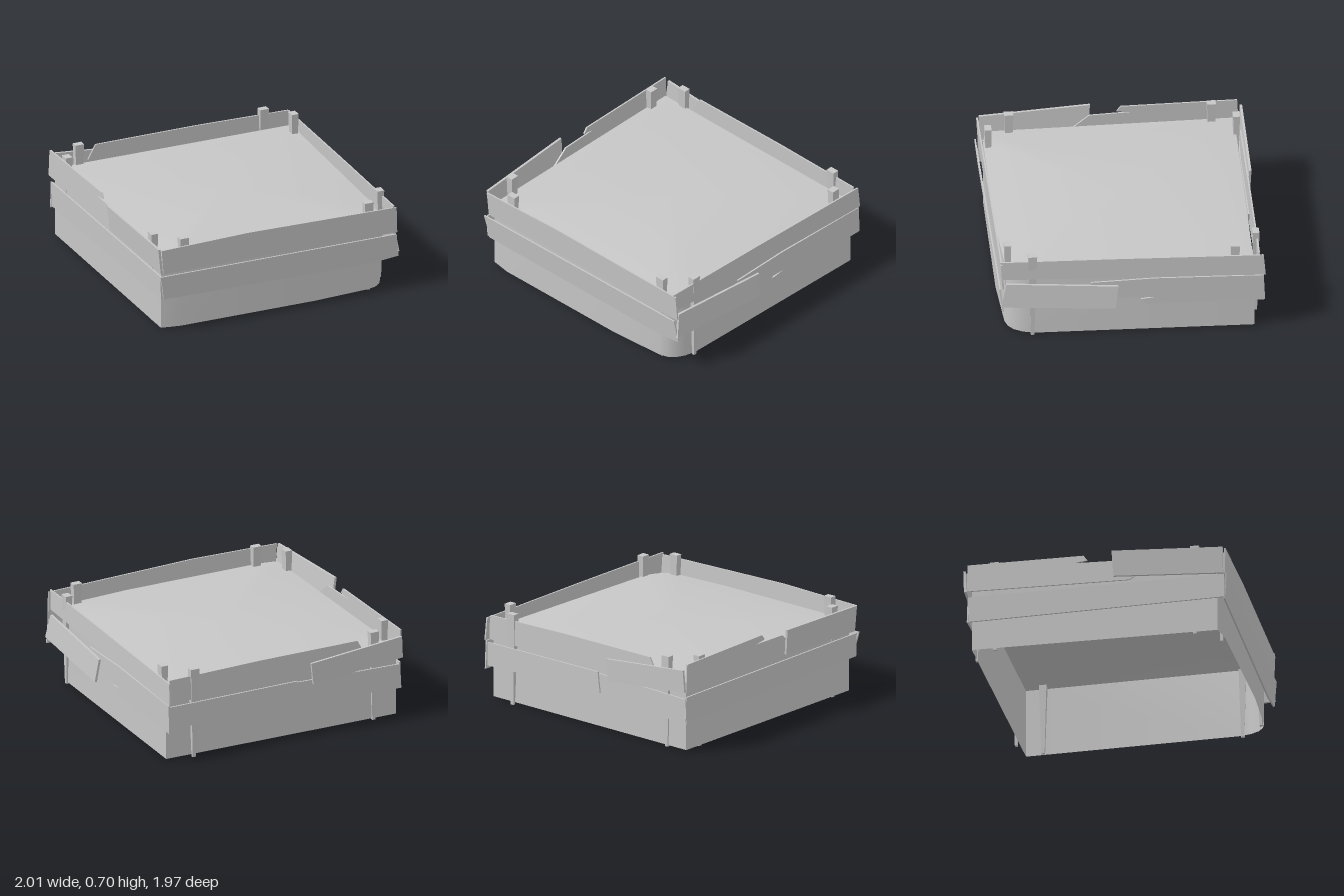
import * as THREE from 'three';
import { toCreasedNormals } from 'three/addons/utils/BufferGeometryUtils.js';

const grey = new THREE.MeshStandardMaterial({ color: 0xc6c6c6, side: THREE.DoubleSide });
grey.name = 'weatheredGrey';

// Outward direction of each side: turn about y, and the sign that maps its world axis to local x
const SIDES = {
  front: { turn: 0, sign: 1 },
  left: { turn: Math.PI / 2, sign: -1 },
  back: { turn: Math.PI, sign: -1 },
  right: { turn: -Math.PI / 2, sign: 1 },
};

// Board cut from an outline of (along, height) points. Its outer face lies at
// depth + slope * along + lean * (height - 0.45) from the centre.
function plank(name, side, outline, depth, slope = 0, lean = 0, thick = 0.012) {
  const { turn, sign } = SIDES[side];
  const shape = new THREE.Shape(outline.map(([u, y]) => new THREE.Vector2(u * sign, y)));
  const geo = new THREE.ExtrudeGeometry(shape, { depth: thick, bevelEnabled: false });
  const p = geo.attributes.position;
  for (let i = 0; i < p.count; i++) {
    const out = depth + slope * p.getX(i) * sign + lean * (p.getY(i) - 0.45);
    p.setZ(i, p.getZ(i) - thick + out);
  }
  geo.rotateY(turn);
  geo.computeVertexNormals();
  const mesh = new THREE.Mesh(geo, grey);
  mesh.name = name;
  return mesh;
}

// Square stake that narrows towards the ground
function stake(x, z, w, d) {
  const geo = new THREE.BoxGeometry(w, 0.7, d);
  const p = geo.attributes.position;
  for (let i = 0; i < p.count; i++) {
    if (p.getY(i) < 0) {
      p.setX(i, p.getX(i) * 0.38);
      p.setZ(i, p.getZ(i) * 0.38);
    }
  }
  geo.computeVertexNormals();
  const mesh = new THREE.Mesh(geo, grey);
  mesh.position.set(x, 0.35, z);
  mesh.name = 'stake';
  return mesh;
}

// Bed body: open underneath, one rounded front corner, gently mounded fill on top
function body() {
  const group = new THREE.Group();
  group.name = 'bedBody';
  const outline = new THREE.Shape();
  outline.moveTo(-0.928, -0.908);
  outline.lineTo(-0.78, -0.935);
  outline.lineTo(0.3, -0.948);
  outline.lineTo(0.74, -0.925);
  outline.quadraticCurveTo(0.88, -0.908, 0.91, -0.72);
  outline.lineTo(0.957, 0.892);
  outline.lineTo(-0.932, 0.925);
  const ring = outline.getPoints(4);
  const n = ring.length;
  const low = 0.01, high = 0.54;

  const walls = [];
  ring.forEach((a, i) => {
    const b = ring[(i + 1) % n];
    walls.push(a.x, low, -a.y, b.x, low, -b.y, b.x, high, -b.y);
    walls.push(a.x, low, -a.y, b.x, high, -b.y, a.x, high, -a.y);
  });
  const wallGeo = new THREE.BufferGeometry();
  wallGeo.setAttribute('position', new THREE.Float32BufferAttribute(walls, 3));
  const wallMesh = new THREE.Mesh(toCreasedNormals(wallGeo, 0.7), grey);
  wallMesh.name = 'bedWalls';

  // Shrinking copies of the outline rise towards the middle
  const rings = 8, mound = 0.05;
  const verts = [], index = [];
  for (let k = 0; k <= rings; k++) {
    const s = 1 - k / rings;
    for (const a of ring) verts.push(a.x * s, high + mound * (1 - s * s), -a.y * s);
  }
  for (let k = 0; k < rings; k++) {
    for (let i = 0; i < n; i++) {
      const a = k * n + i, b = k * n + (i + 1) % n;
      index.push(a, b, b + n);
      if (k < rings - 1) index.push(a, b + n, a + n);
    }
  }
  const fillGeo = new THREE.BufferGeometry();
  fillGeo.setAttribute('position', new THREE.Float32BufferAttribute(verts, 3));
  fillGeo.setIndex(index);
  fillGeo.computeVertexNormals();
  const fill = new THREE.Mesh(fillGeo, grey);
  fill.name = 'bedFill';
  group.add(wallMesh, fill);
  return group;
}

export function createModel() {
  const model = new THREE.Group();
  model.name = 'raisedBed';
  model.add(body());

  // Two stakes near each corner
  const stakes = new THREE.Group();
  stakes.name = 'stakes';
  for (const s of [-1, 1]) {
    stakes.add(stake(s * 0.745, 0.903, 0.07, 0.05), stake(s * 0.745, -0.922, 0.07, 0.05));
    stakes.add(stake(s * 0.912, 0.735, 0.054, 0.066), stake(s * 0.912, -0.755, 0.054, 0.066));
  }
  model.add(stakes);

  // Front boards
  model.add(
    plank('frontUpperPlank', 'front',
      [[-0.95, 0.655], [-0.25, 0.67], [0.945, 0.645], [0.955, 0.44], [0, 0.455], [-0.93, 0.46]], 0.96, 0, 0.05),
    plank('frontLowerPlank', 'front',
      [[-0.965, 0.45], [0.94, 0.435], [0.965, 0.25], [0.75, 0.23], [-0.93, 0.26], [-0.945, 0.36]], 0.983, 0, 0.11),
  );

  // Boards on the +x side, with a splayed short one and a splintered one
  model.add(
    plank('leftUpperPlank', 'left',
      [[0.97, 0.66], [0.1, 0.65], [-0.96, 0.63], [-0.975, 0.46], [0.2, 0.49], [0.96, 0.51]], 0.955, -0.02, -0.03),
    plank('leftShortPlank', 'left',
      [[0.93, 0.475], [0.11, 0.43], [0.13, 0.25], [0.97, 0.29]], 0.983, -0.037, -0.13, 0.018),
    plank('leftLowerPlank', 'left',
      [[0.31, 0.455], [-0.16, 0.47], [-0.96, 0.455], [-0.97, 0.24], [-0.1, 0.245],
        [-0.06, 0.29], [-0.17, 0.305], [0.1, 0.31]], 0.957, -0.018),
  );

  // Boards on the back
  model.add(
    plank('backUpperPlank', 'back',
      [[0.95, 0.645], [0.2, 0.66], [-0.6, 0.66], [-0.66, 0.55], [-0.5, 0.47], [0.97, 0.46]], 0.942, -0.008),
    plank('backShortPlank', 'back',
      [[-0.2, 0.57], [-0.95, 0.64], [-0.96, 0.47], [-0.22, 0.4]], 0.978, 0, 0.04, 0.018),
    plank('backLowerPlank', 'back',
      [[0.97, 0.44], [-0.1, 0.44], [-0.12, 0.28], [0.97, 0.26]], 0.952),
    plank('backLowerInnerPlank', 'back',
      [[0.15, 0.43], [-0.95, 0.41], [-0.96, 0.22], [0.05, 0.26], [0.1, 0.33]], 0.938, -0.018),
  );

  // Boards on the -x side, with a splayed short one and a splintered one
  model.add(
    plank('rightShortPlank', 'right',
      [[0.95, 0.66], [0.13, 0.685], [0.14, 0.49], [0.95, 0.46]], 0.985, -0.04, 0.1, 0.018),
    plank('rightUpperPlank', 'right',
      [[-0.09, 0.69], [-0.95, 0.68], [-0.96, 0.47], [0.25, 0.47], [0.3, 0.5],
        [0.14, 0.63], [-0.16, 0.635], [-0.06, 0.65]], 0.945, -0.02),
    plank('rightLowerPlank', 'right',
      [[0.96, 0.445], [-0.95, 0.425], [-0.96, 0.23], [0.96, 0.265]], 0.957, 0, 0.03),
  );
  return model;
}
